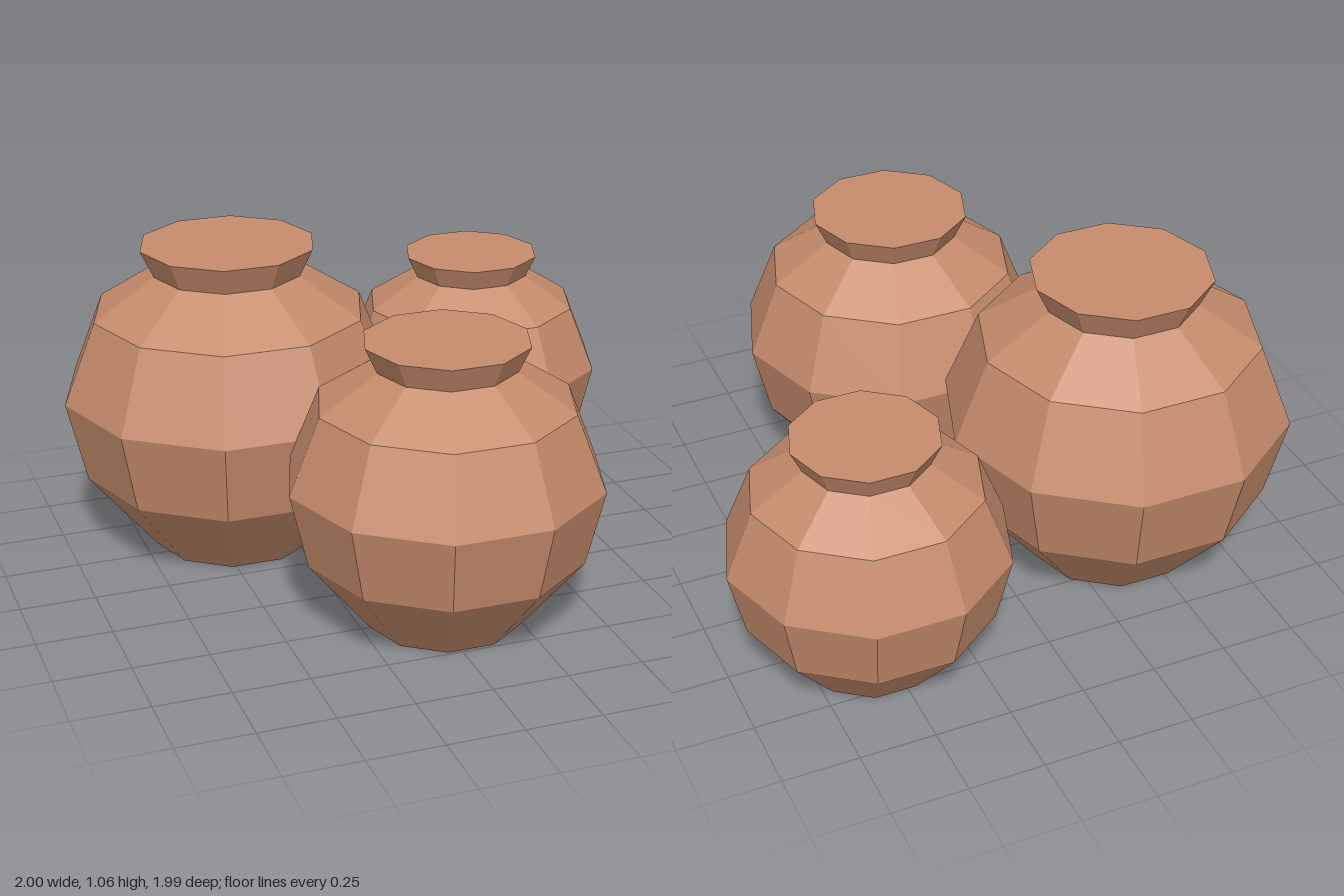
import * as THREE from 'three';

// Full-size pot silhouette, [radius, height] from base centre to lid centre
const PROFILE = [
  [0, 0], [0.28, 0], [0.507, 0.277], [0.573, 0.555], [0.462, 0.832],
  [0.253, 0.967], [0.297, 1.06], [0, 1.06],
].map(([r, y]) => new THREE.Vector2(r, y));

export function createModel() {
  const group = new THREE.Group();
  group.name = 'clayPots';

  const clay = new THREE.MeshStandardMaterial({ color: 0xc68c6c });
  clay.name = 'terracotta';

  // Ten-sided faceted pot with a corner pointing along x
  const turned = new THREE.LatheGeometry(PROFILE, 10, Math.PI / 2);
  const geometry = turned.toNonIndexed();
  geometry.computeVertexNormals();

  const addPot = (name, x, z, scale) => {
    const pot = new THREE.Mesh(geometry, clay);
    pot.name = name;
    pot.position.set(x, 0, z);
    pot.scale.setScalar(scale);
    group.add(pot);
  };

  addPot('largePot', -0.427, -0.328, 1);
  addPot('mediumPot', 0.033, 0.5, 0.9);
  addPot('smallPot', 0.54, -0.56, 0.8);

  return group;
}
